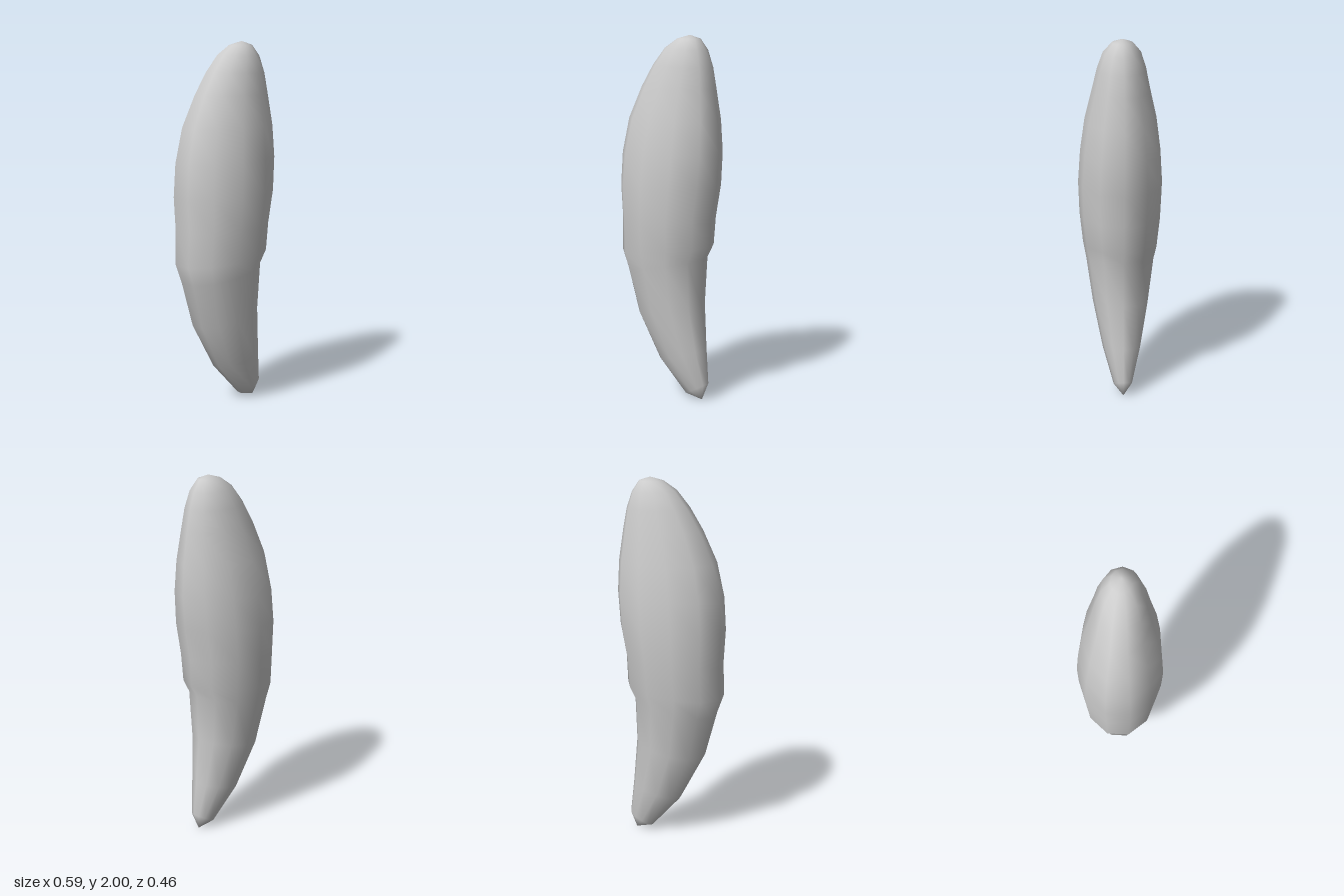
import * as THREE from 'three';

const SIDES = 11;
// Cross-sections from top to bottom: [xMin, yAtXMin, xMax, yAtXMax, halfDepth]
const SECTIONS = [
  [0.04, 1.98, 0.17, 1.98, 0.055],
  [-0.03, 1.93, 0.21, 1.92, 0.10],
  [-0.10, 1.84, 0.24, 1.83, 0.13],
  [-0.17, 1.72, 0.26, 1.72, 0.155],
  [-0.245, 1.55, 0.285, 1.55, 0.195],
  [-0.285, 1.36, 0.293, 1.38, 0.22],
  [-0.295, 1.18, 0.28, 1.20, 0.232],
  [-0.285, 1.00, 0.247, 1.02, 0.226],
  [-0.29, 0.81, 0.24, 0.87, 0.208],
  [-0.255, 0.71, 0.20, 0.80, 0.192],
  [-0.19, 0.46, 0.19, 0.54, 0.157],
  [-0.06, 0.21, 0.21, 0.29, 0.107],
  [0.10, 0.03, 0.23, 0.10, 0.052],
];
const TOP = [0.11, 2, 0];
const BOTTOM = [0.195, 0.005, 0];

function loft(sections, top, bottom) {
  const positions = [];
  const index = [];
  const cosMin = Math.cos((Math.PI * (SIDES - 1)) / SIDES);
  // Tilted oval rings with one point facing +x
  for (const [x0, y0, x1, y1, depth] of sections) {
    for (let j = 0; j < SIDES; j++) {
      const a = (j / SIDES) * Math.PI * 2;
      const t = (Math.cos(a) - cosMin) / (1 - cosMin);
      positions.push(x0 + (x1 - x0) * t, y0 + (y1 - y0) * t, depth * Math.sin(a));
    }
  }
  const last = (sections.length - 1) * SIDES;
  const topId = last + SIDES;
  positions.push(...top, ...bottom);
  for (let j = 0; j < SIDES; j++) {
    const k = (j + 1) % SIDES;
    for (let r = 0; r < last; r += SIDES) {
      const [a, b, c, d] = [r + j, r + k, r + SIDES + j, r + SIDES + k];
      index.push(a, b, c, b, d, c);
    }
    // Closed tips
    index.push(topId, k, j);
    index.push(topId + 1, last + j, last + k);
  }
  const geometry = new THREE.BufferGeometry();
  geometry.setAttribute('position', new THREE.Float32BufferAttribute(positions, 3));
  geometry.setIndex(index);
  geometry.computeVertexNormals();
  return geometry;
}

export function createModel() {
  const group = new THREE.Group();
  group.name = 'curvedPod';
  const material = new THREE.MeshStandardMaterial({ color: 0xcccccc });
  const body = new THREE.Mesh(loft(SECTIONS, TOP, BOTTOM), material);
  body.name = 'body';
  group.add(body);
  return group;
}
